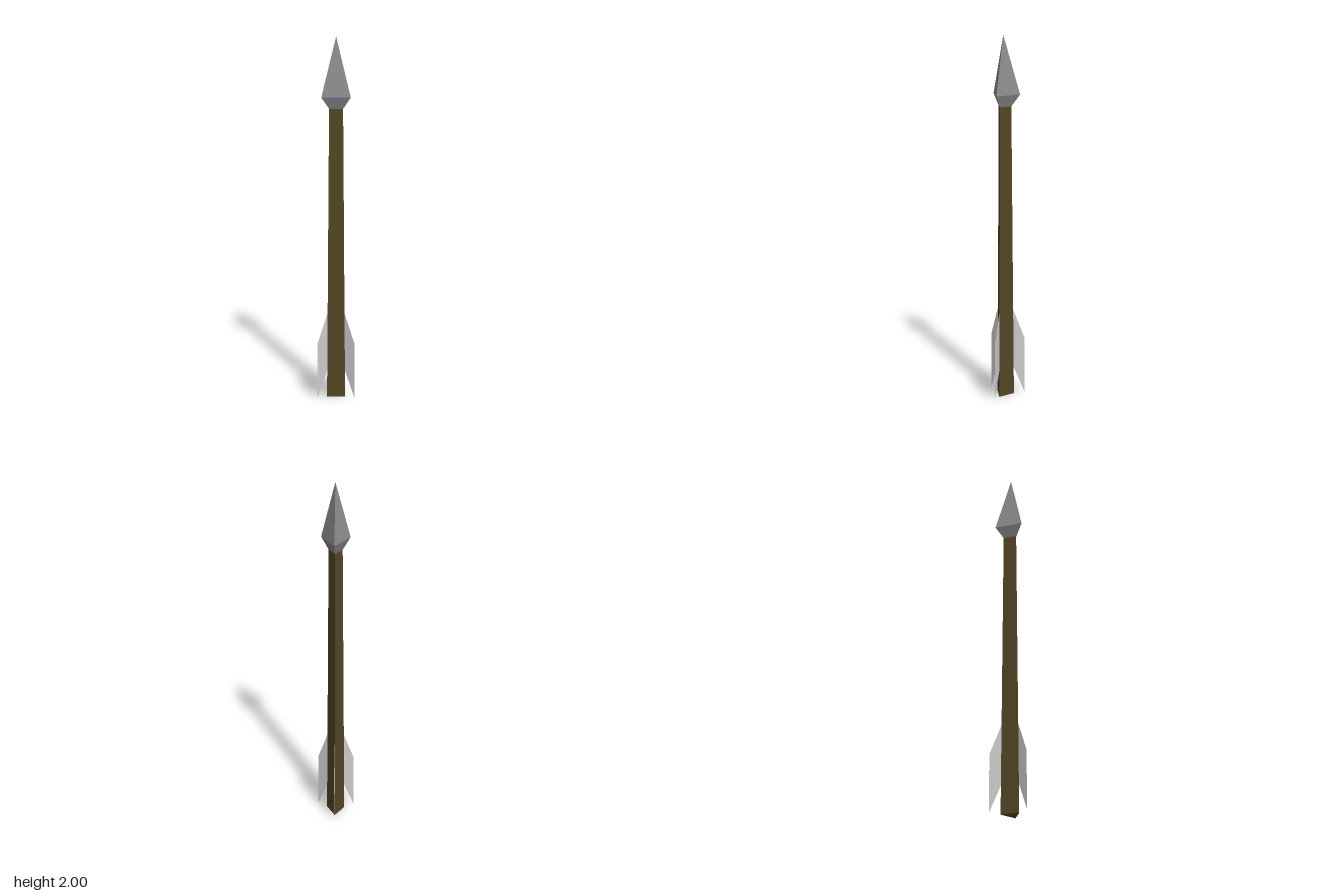
import * as THREE from 'three';

const AXIS_Z = 0.028; // the triangular section is off-centre in z
const SHAFT_TOP = 1.62, R_BOTTOM = 0.058, R_TOP = 0.043;

const material = (color, side = THREE.FrontSide) =>
  new THREE.MeshStandardMaterial({ color, side, flatShading: true });

// Three-sided tapered prism with one corner pointing to -z
function prism(name, rTop, rBottom, y0, y1, mat, open = false) {
  const geometry = new THREE.CylinderGeometry(rTop, rBottom, y1 - y0, 3, 1, open, Math.PI);
  const mesh = new THREE.Mesh(geometry, mat);
  mesh.name = name;
  mesh.position.y = (y0 + y1) / 2;
  return mesh;
}

export function createModel() {
  const arrow = new THREE.Group();
  arrow.name = 'arrow';
  arrow.position.z = AXIS_Z;

  // Shaft
  arrow.add(prism('shaft', R_TOP, R_BOTTOM, 0, SHAFT_TOP, material(0x544625)));

  // Head: short flare below, long point above
  const head = new THREE.Group();
  head.name = 'head';
  const steel = material(0x8c8c8c);
  head.add(prism('headBase', 0.09, R_TOP, SHAFT_TOP, 1.683, steel, true));
  head.add(prism('headPoint', 0, 0.09, 1.683, 2, steel, true));
  arrow.add(head);

  // Fins: thin swept blades standing on the three corners of the shaft
  const shaftRadius = (y) => THREE.MathUtils.lerp(R_BOTTOM, R_TOP, y / SHAFT_TOP);
  const outline = new THREE.Shape([
    new THREE.Vector2(shaftRadius(0.155), 0.155),
    new THREE.Vector2(0.118, 0.006),
    new THREE.Vector2(0.118, 0.322),
    new THREE.Vector2(shaftRadius(0.49), 0.49),
  ]);
  const finGeometry = new THREE.ShapeGeometry(outline);
  const feather = material(0xcccccc, THREE.DoubleSide);
  for (let i = 0; i < 3; i++) {
    const fin = new THREE.Mesh(finGeometry, feather);
    fin.name = `fin${i + 1}`;
    fin.rotation.y = Math.PI / 2 + (i * 2 * Math.PI) / 3;
    arrow.add(fin);
  }

  const model = new THREE.Group();
  model.add(arrow);
  return model;
}
